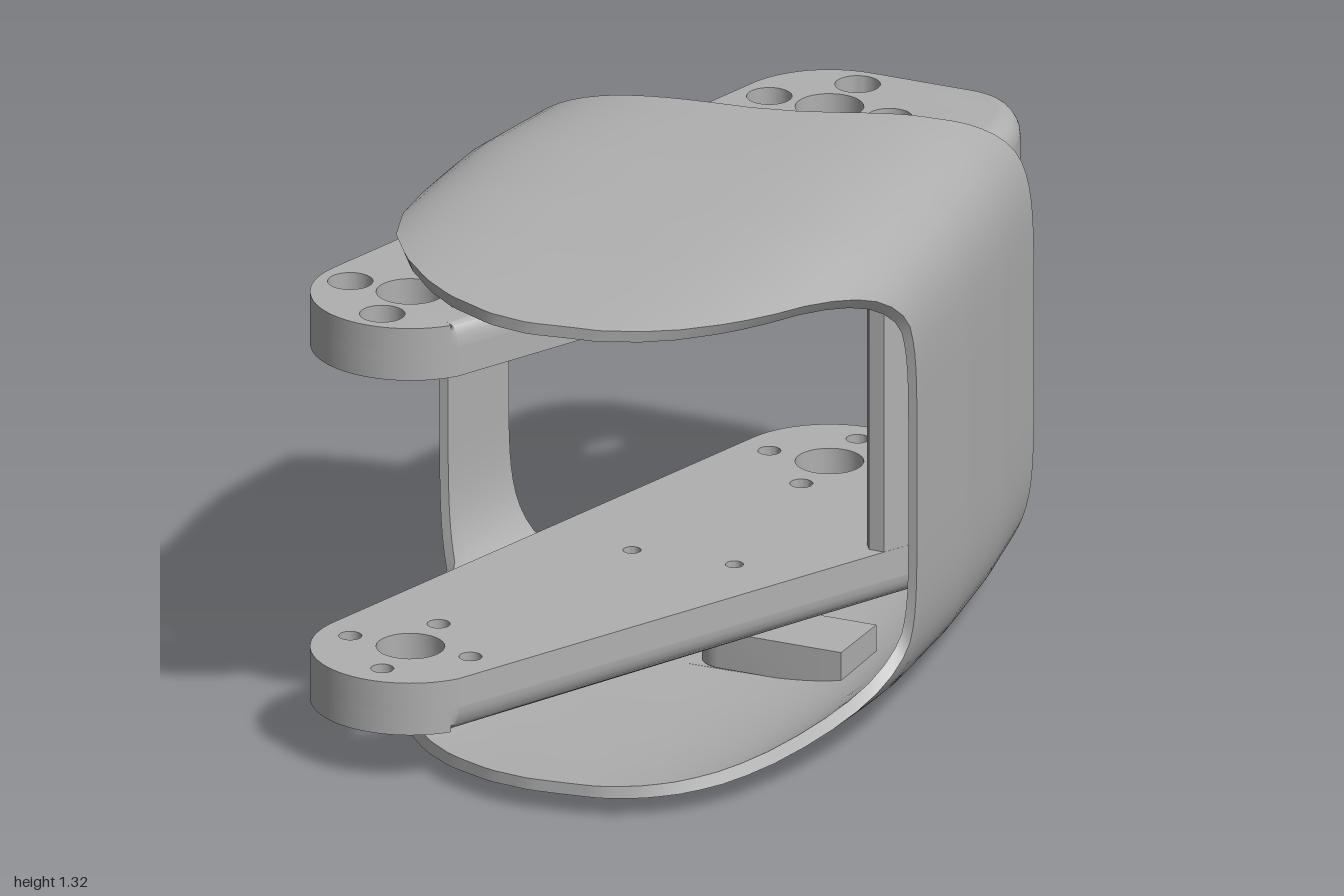
import * as THREE from 'three';
import { toCreasedNormals } from 'three/addons/utils/BufferGeometryUtils.js';

const MID = 0.658; // mirror height between lower and upper halves
const FRONT = [-0.385, 0.757], BACK = [0.02, -0.76]; // hinge centres (x, z)
const SCREWS = [[-0.166, -0.035], [0.097, -0.055]];
const SEAT = 0.1; // half size of the shell patch round a screw
const clamp01 = (v) => Math.min(1, Math.max(0, v));

function lookup(table, x) {
  if (x <= table[0][0]) return table[0][1];
  for (let i = 1; i < table.length; i++) {
    const [x0, y0] = table[i - 1], [x1, y1] = table[i];
    if (x <= x1) return y0 + (y1 - y0) * (x - x0) / (x1 - x0);
  }
  return table[table.length - 1][1];
}

// Extrudes a plan shape drawn in (x, z) between two heights
function slab(shape, y0, y1, steps = 1) {
  const g = new THREE.ExtrudeGeometry(shape, { depth: y1 - y0, steps, bevelEnabled: false, curveSegments: 16 });
  g.rotateX(Math.PI / 2);
  g.translate(0, y1, 0);
  return g;
}

function addHole(shape, x, z, r) {
  const p = new THREE.Path();
  p.absarc(x, z, r, 0, Math.PI * 2, false);
  shape.holes.push(p);
}

// Right-hand edge shared by the arms and the joining wall
function traceRightEdge(s) {
  s.lineTo(0.435, -0.37);
  s.quadraticCurveTo(0.475, -0.45, 0.475, -0.56);
  s.lineTo(0.475, -0.8);
  s.bezierCurveTo(0.47, -0.92, 0.43, -1, 0.35, -1);
}

// Arm outline with two hinge patterns and two fixing holes
function armShape(boltRadius) {
  const s = new THREE.Shape();
  s.moveTo(-0.19, 0.9);
  traceRightEdge(s);
  s.lineTo(BACK[0], -1);
  s.absarc(BACK[0], BACK[1], 0.24, -Math.PI / 2, -2.88, true);
  s.absarc(FRONT[0], FRONT[1], 0.242, Math.PI * 2 - 2.88, 0.633, true);
  for (const [x, z] of [FRONT, BACK]) {
    addHole(s, x, z, 0.083);
    for (const [dx, dz] of [[1, 0], [-1, 0], [0, 1], [0, -1]]) addHole(s, x + dx * 0.16, z + dz * 0.16, boltRadius);
  }
  for (const [x, z] of SCREWS) addHole(s, x, z, 0.022);
  return s;
}

// Rounds the outer edge along the right side of an arm
function roundRightEdge(g, yInner, yOuter, r) {
  const p = g.attributes.position;
  const ax = BACK[0] - FRONT[0], az = BACK[1] - FRONT[1], len = Math.hypot(ax, az);
  for (let i = 0; i < p.count; i++) {
    const a = clamp01((p.getY(i) - yInner) / (yOuter - yInner)) * Math.PI / 2;
    const d = (-(p.getX(i) - FRONT[0]) * az + (p.getZ(i) - FRONT[1]) * ax) / len;
    const w = clamp01((d - 0.22) / 0.01);
    p.setX(i, p.getX(i) - w * r * (1 - Math.cos(a)));
    p.setY(i, yInner + (yOuter - yInner) * Math.sin(a));
  }
  return g;
}

// Thin sleeve: rounded-square section with its own front and back limit at every point round it
const FRONT_EDGE = [[-1, -0.06], [-0.93, 0], [-0.885, 0.1], [-0.86, 0.25], [-0.826, 0.4], [-0.72, 0.6], [-0.58, 0.75],
  [-0.43, 0.86], [-0.29, 0.93], [-0.1, 0.985], [0.06, 1], [0.33, 0.975], [0.47, 0.93], [0.58, 0.87],
  [0.68, 0.78], [0.755, 0.68], [0.87, 0.43], [0.98, 0.19], [1, 0.175]];
const BACK_EDGE = [[-1, -0.32], [-0.29, -0.37], [0.0, -0.39], [0.19, -0.42], [0.33, -0.46], [0.44, -0.5], [0.57, -0.555],
  [0.675, -0.6], [0.83, -0.69], [0.95, -0.77], [1, -0.79]];
const HALF_HEIGHT = [[-0.8, 0.635], [-0.5, 0.65], [-0.2, 0.657], [0, 0.658], [0.3, 0.652], [0.6, 0.638], [0.8, 0.624], [1, 0.606]];
const RIGHT_X = [[-0.79, 0.55], [-0.5, 0.607], [-0.2, 0.652], [0.17, 0.69]];
const LEFT_X = [[-0.32, -0.65], [-0.06, -0.69]];
const NX = 3.5, NY = 6; // squareness of the section
const THICK_X = 0.023, THICK_Y = 0.03;

// Point of the unit section in direction (c, s)
function sectionPoint(c, s) {
  let lo = 0.9, hi = 1.5;
  for (let i = 0; i < 30; i++) {
    const k = (lo + hi) / 2;
    if (Math.abs(c * k) ** NX + Math.abs(s * k) ** NY > 1) hi = k; else lo = k;
  }
  return [c * lo, s * lo];
}

function shellGeometry() {
  const around = 144, along = 36;
  const rows = [];
  for (let j = 0; j <= along; j++) rows.push([j / along, 0]);
  for (let j = along; j >= 0; j--) rows.push([j / along, 1]);
  const pos = [], idx = [];
  for (const [t, inset] of rows) {
    for (let i = 0; i < around; i++) {
      const a = (i / around) * Math.PI * 2;
      const [u, v] = sectionPoint(Math.cos(a), Math.sin(a));
      const z = THREE.MathUtils.lerp(lookup(FRONT_EDGE, u), lookup(BACK_EDGE, u), t);
      const xr = lookup(RIGHT_X, z), xl = lookup(LEFT_X, z);
      pos.push((xr + xl) / 2 + ((xr - xl) / 2 - inset * THICK_X) * u, MID + (lookup(HALF_HEIGHT, z) - inset * THICK_Y) * v, z);
    }
  }
  // Cells under a screw seat are left open for the seat to fill
  const inSeat = (corners) => SCREWS.some(([x, z]) => corners.every((k) => pos[3 * k + 1] < MID
    && Math.abs(pos[3 * k] - x) < SEAT && Math.abs(pos[3 * k + 2] - z) < SEAT));
  for (let j = 0; j < rows.length; j++) {
    const j2 = (j + 1) % rows.length;
    for (let i = 0; i < around; i++) {
      const i2 = (i + 1) % around;
      const a = j * around + i, b = j * around + i2, c = j2 * around + i, d = j2 * around + i2;
      if (!inSeat([a, b, c, d])) idx.push(a, c, b, b, c, d);
    }
  }
  const g = new THREE.BufferGeometry();
  g.setAttribute('position', new THREE.Float32BufferAttribute(pos, 3));
  g.setIndex(idx);
  return g;
}

// Square patch of the shell floor with a hole, bent to follow the floor
function seatGeometry(x, z, radius, y0, y1) {
  const s = new THREE.Shape();
  s.moveTo(x - SEAT, z - SEAT);
  s.lineTo(x + SEAT, z - SEAT);
  s.lineTo(x + SEAT, z + SEAT);
  s.lineTo(x - SEAT, z + SEAT);
  addHole(s, x, z, radius);
  const g = slab(s, y0, y1), p = g.attributes.position;
  for (let i = 0; i < p.count; i++) {
    const zi = p.getZ(i), xr = lookup(RIGHT_X, zi), xl = lookup(LEFT_X, zi);
    const u = (p.getX(i) - (xr + xl) / 2) / ((xr - xl) / 2);
    p.setY(i, p.getY(i) + MID - lookup(HALF_HEIGHT, zi) * (1 - Math.abs(u) ** NX) ** (1 / NY));
  }
  return g;
}

export function createModel() {
  const model = new THREE.Group();
  model.name = 'hingeBracketWithShell';
  const grey = new THREE.MeshStandardMaterial({ color: 0xb0b0b0 });
  grey.name = 'grey';
  const add = (parent, name, geometry, crease = 0.6) => {
    const mesh = new THREE.Mesh(toCreasedNormals(geometry, crease), grey);
    mesh.name = name;
    parent.add(mesh);
  };

  // Shell with two counterbored screw seats in its floor
  add(model, 'shell', shellGeometry());
  for (const [x, z] of SCREWS) {
    add(model, 'screwSeatOuter', seatGeometry(x, z, 0.052, 0, 0.015));
    add(model, 'screwSeatInner', seatGeometry(x, z, 0.028, 0.015, THICK_Y));
  }

  const bracket = new THREE.Group();
  bracket.name = 'bracket';
  model.add(bracket);

  // Each arm: an inner layer with narrow bolt holes, an outer layer with counterbores
  const inner = armShape(0.028), outer = armShape(0.055);
  add(bracket, 'lowerArmInner', slab(inner, 0.19, 0.265));
  add(bracket, 'lowerArmOuter', roundRightEdge(slab(outer, 0.13, 0.19, 6), 0.19, 0.13, 0.06));
  add(bracket, 'upperArmInner', slab(inner, 1.05, 1.125));
  add(bracket, 'upperArmOuter', roundRightEdge(slab(outer, 1.125, 1.185, 6), 1.125, 1.185, 0.06));

  // Wall joining the two arms
  const wall = new THREE.Shape();
  wall.moveTo(0.39, -0.28);
  traceRightEdge(wall);
  wall.lineTo(0.335, -0.985);
  wall.quadraticCurveTo(0.39, -0.95, 0.39, -0.85);
  wall.lineTo(0.39, -0.46);
  wall.lineTo(0.33, -0.31);
  wall.lineTo(0.35, -0.28);
  add(bracket, 'joiningWall', slab(wall, 0.265, 1.05), 0.3);

  // Spacers between the arms and the shell
  const boss = new THREE.Shape();
  boss.absarc(-0.16, -0.035, 0.06, 0, Math.PI * 2, false);
  const block = new THREE.Shape();
  block.moveTo(0.43, -0.15);
  block.lineTo(0.43, 0.05);
  block.lineTo(0.1, 0.05);
  block.quadraticCurveTo(0.03, 0.04, 0.03, -0.05);
  block.quadraticCurveTo(0.03, -0.14, 0.1, -0.15);
  [boss, block].forEach((s, i) => addHole(s, ...SCREWS[i], 0.022));
  for (const [label, y0, y1] of [['lower', 0.035, 0.13], ['upper', 1.185, 1.28]]) {
    add(model, label + 'RoundSpacer', slab(boss, y0, y1));
    add(model, label + 'BlockSpacer', slab(block, y0, y1));
  }
  return model;
}
